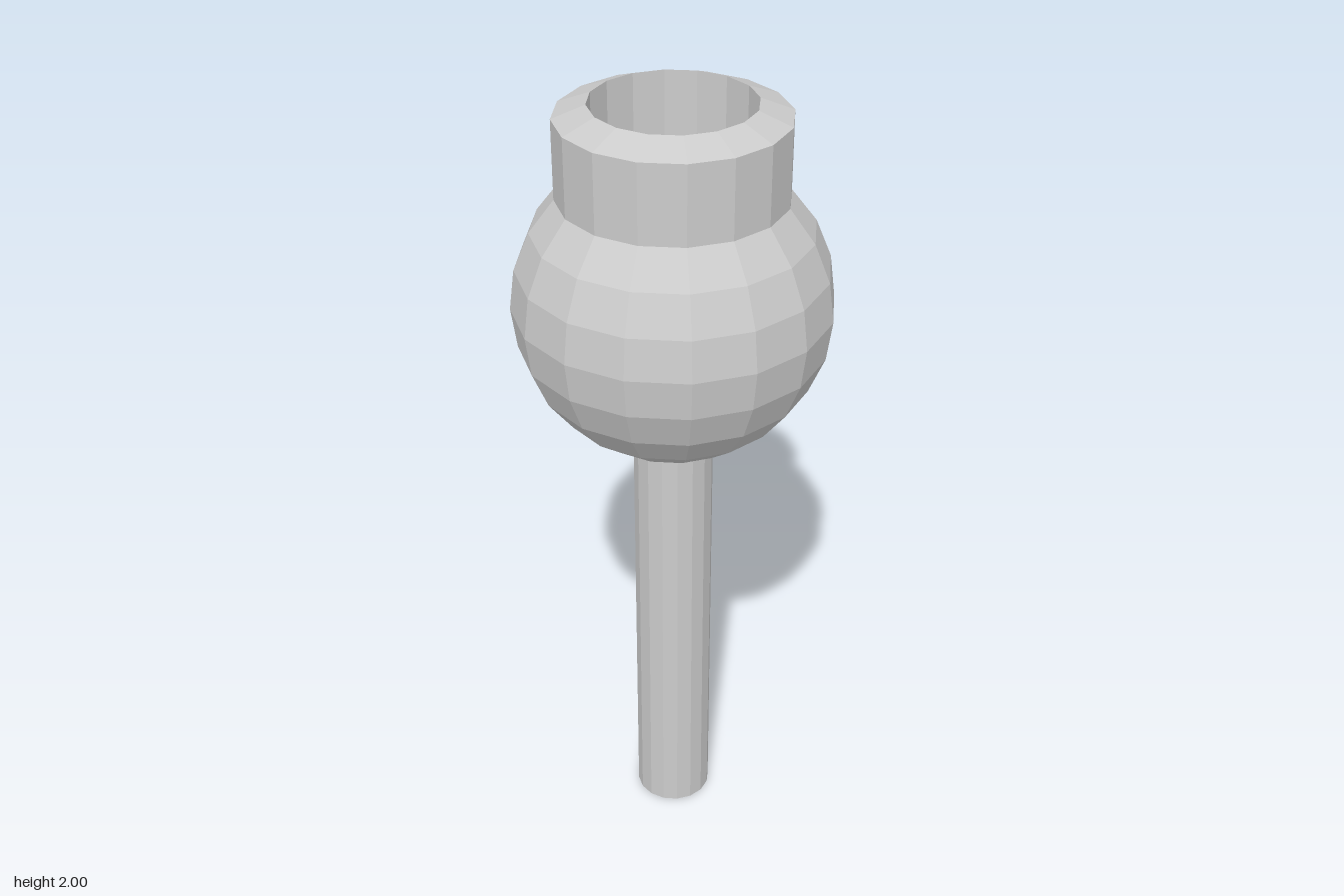
import * as THREE from 'three';

const SIDES = 16;
const RADIUS = 0.378; // bulb radius
const CENTRE_Y = 1.515; // bulb centre height
const RING_STEP = Math.PI / 12;

// Point on the bulb outline, counted in rings above (+) or below (-) the equator
function ringPoint(i) {
  const a = i * RING_STEP;
  return [RADIUS * Math.cos(a), CENTRE_Y + RADIUS * Math.sin(a)];
}

export function createModel() {
  const group = new THREE.Group();
  const material = new THREE.MeshStandardMaterial({ color: 0xcccccc, flatShading: true });

  // Profiles run bottom to top on the outside, then down on the inside
  function turned(name, profile) {
    const points = profile.map(([r, y]) => new THREE.Vector2(r, y));
    const mesh = new THREE.Mesh(new THREE.LatheGeometry(points, SIDES), material);
    mesh.name = name;
    group.add(mesh);
  }

  const [stemR, stemTop] = ringPoint(-5);
  const [collarR, collarBase] = ringPoint(3);

  // Straight stem with a closed foot
  turned('stem', [[0, 0], [stemR, 0], [stemR, stemTop]]);

  // Faceted bulb between stem and collar
  const bulb = [];
  for (let i = -5; i <= 3; i++) bulb.push(ringPoint(i));
  turned('bulb', bulb);

  // Collar with a bevelled rim and a flat-bottomed socket
  turned('collar', [
    [collarR, collarBase], [collarR, 1.97], [0.19, 2], [0.19, collarBase], [0, collarBase],
  ]);

  return group;
}
